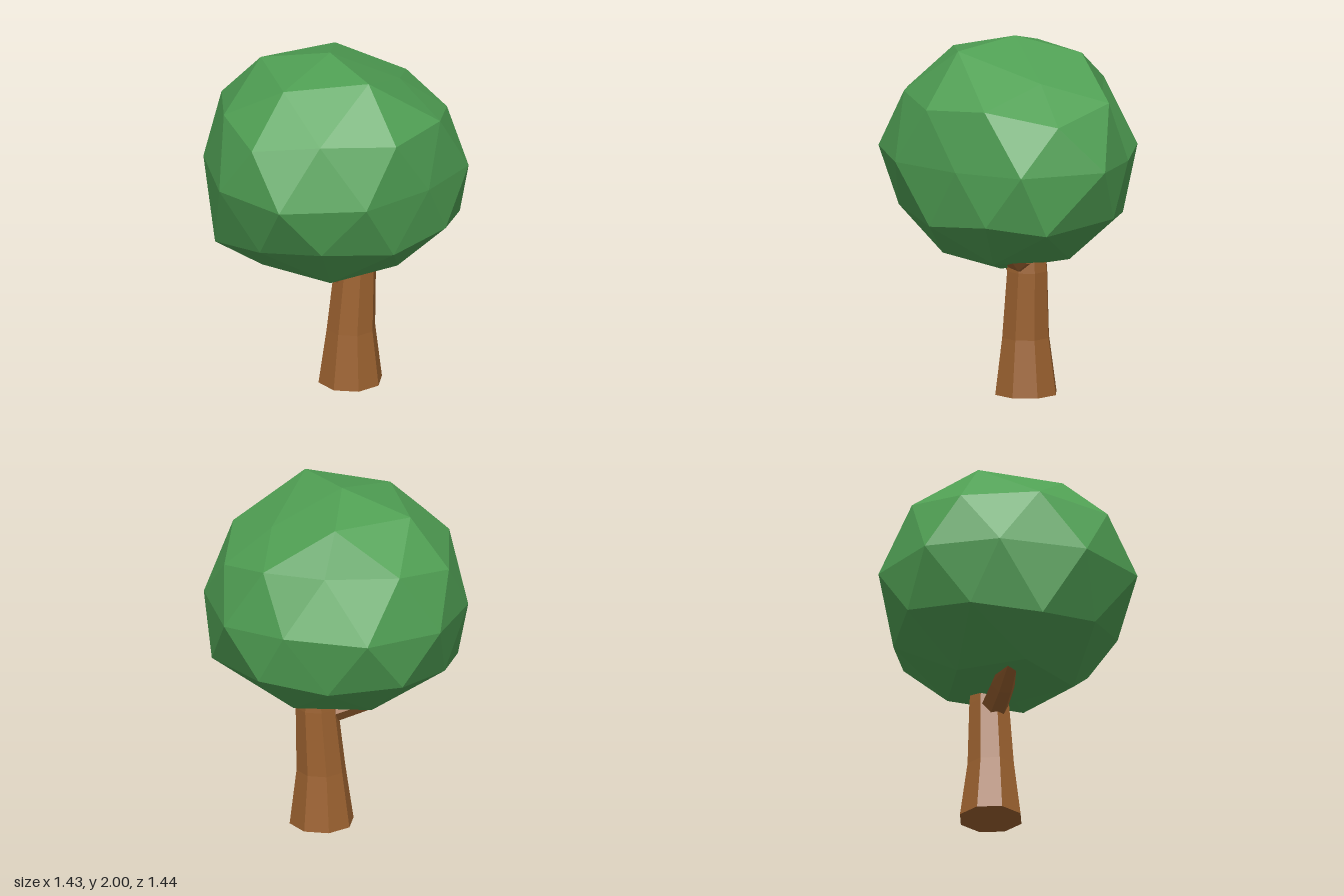
import * as THREE from 'three';

const bark = new THREE.MeshStandardMaterial({ color: 0x9c6230, flatShading: true });
const leaf = new THREE.MeshStandardMaterial({ color: 0x50a054, flatShading: true });
const UP = new THREE.Vector3(0, 1, 0);

// Faceted tapering limb through sections [x, y, z, radius]; level keeps the rings horizontal
function limb(name, sections, sides, level = false) {
  const n = sections.length - 1;
  const at = sections.map(s => new THREE.Vector3(s[0], s[1], s[2]));
  const turns = at.map((p, i) => {
    const dir = at[Math.min(i + 1, n)].clone().sub(at[Math.max(i - 1, 0)]).normalize();
    return new THREE.Quaternion().setFromUnitVectors(UP, level ? UP : dir);
  });
  const geo = new THREE.CylinderGeometry(1, 1, 1, sides, n).toNonIndexed();
  const pos = geo.attributes.position;
  const v = new THREE.Vector3();
  for (let i = 0; i < pos.count; i++) {
    v.fromBufferAttribute(pos, i);
    const k = Math.round((v.y + 0.5) * n);
    v.setY(0).multiplyScalar(sections[k][3]).applyQuaternion(turns[k]).add(at[k]);
    pos.setXYZ(i, v.x, v.y, v.z);
  }
  geo.computeVertexNormals();
  const mesh = new THREE.Mesh(geo, bark);
  mesh.name = name;
  return mesh;
}

// Places where the round crown is pulled out or dented
const sculpted = [
  [-0.02, 2, 0], [0.1, 1.96, 0.385], [0.1, 1.9, -0.35], [0.38, 1.8, 0],
  [-0.35, 1.9, 0.24], [-0.35, 1.9, -0.26],
  [0.51, 1.69, 0.385], [0.51, 1.69, -0.355], [-0.23, 1.69, 0.58], [-0.21, 1.69, -0.6], [-0.63, 1.69, 0],
  [0.18, 1.65, -0.44], [-0.58, 1.64, 0.42], [-0.53, 1.64, -0.43], [0.65, 1.6, 0],
  [0.71, 1.34, 0.245], [0.71, 1.34, -0.255], [0.41, 1.34, 0.52], [0.43, 1.34, -0.5],
  [-0.48, 1.34, 0.635], [-0.44, 1.34, -0.61], [-0.72, 1.34, 0.245], [-0.68, 1.34, -0.255],
  [0.54, 1.04, 0.39], [0.54, 1.04, -0.37], [-0.23, 1.05, 0.61], [-0.22, 1.04, -0.63], [-0.68, 0.93, 0],
  [0.7, 1, 0.09], [0.19, 1, 0.59], [0.19, 1, -0.56], [-0.52, 1, 0.37], [-0.52, 1, -0.37],
  [0.3, 0.78, 0.25], [0.3, 0.78, -0.2], [-0.12, 0.78, 0.39], [-0.12, 0.77, -0.3], [-0.41, 0.76, 0],
  [0, 0.69, 0.09],
].map(p => new THREE.Vector3(...p));

// Icosphere standing on a vertex, each corner drawn to its sculpted place
function crown() {
  const geo = new THREE.IcosahedronGeometry(0.72, 1);
  geo.rotateZ(-Math.atan(2 / (1 + Math.sqrt(5))));
  geo.translate(0, 1.34, 0);
  const pos = geo.attributes.position;
  const v = new THREE.Vector3();
  for (let i = 0; i < pos.count; i++) {
    v.fromBufferAttribute(pos, i);
    let best = 0.19, target = v;
    for (const s of sculpted) {
      const d = s.distanceTo(v);
      if (d < best) { best = d; target = s; }
    }
    pos.setXYZ(i, target.x, target.y, target.z);
  }
  geo.computeVertexNormals();
  const mesh = new THREE.Mesh(geo, leaf);
  mesh.name = 'crown';
  return mesh;
}

export function createModel() {
  const tree = new THREE.Group();
  tree.name = 'tree';
  tree.add(
    limb('trunk', [[0.1, 0, -0.018, 0.182], [0.103, 0.32, -0.015, 0.139], [0.128, 0.7, -0.015, 0.119], [0.13, 0.88, -0.015, 0.1]], 8, true),
    limb('longBranch', [[0.09, 0.66, -0.01, 0.08], [-0.13, 0.72, -0.03, 0.07], [-0.28, 0.8, -0.04, 0.055]], 6),
    limb('shortBranch', [[0.13, 0.77, 0, 0.075], [0.22, 0.78, 0.08, 0.065], [0.29, 0.85, 0.15, 0.05]], 6),
    crown(),
  );
  return tree;
}
